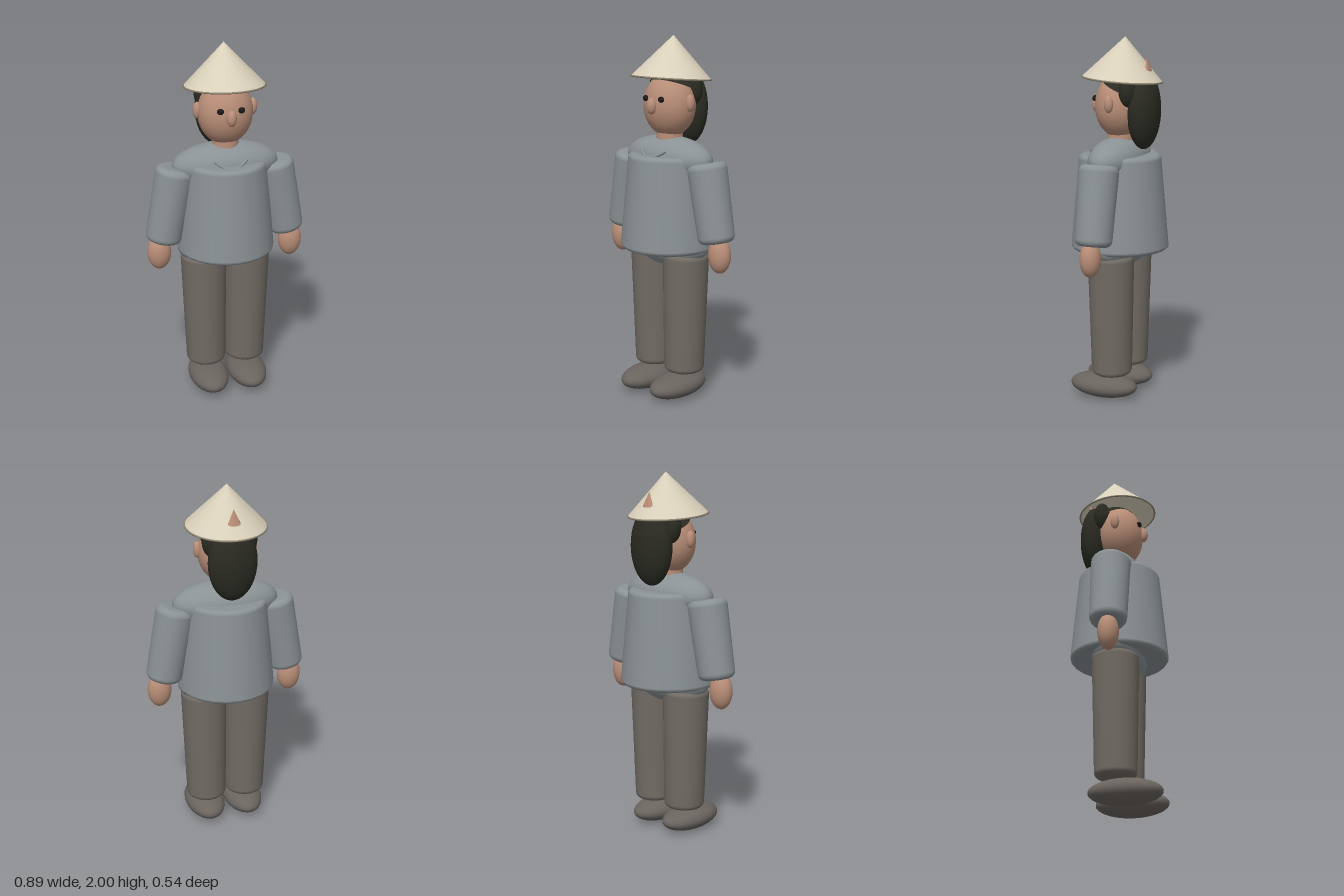
import * as THREE from 'three';

export function createModel() {
  const root = new THREE.Group();
  root.name = 'standingFigure';

  const mat = (name, color, side = THREE.FrontSide) => {
    const m = new THREE.MeshStandardMaterial({ color, side });
    m.name = name;
    return m;
  };
  const straw = mat('straw', 0xd9d0ba, THREE.DoubleSide);
  const rimBrown = mat('hatRim', 0x8f8672);
  const skin = mat('skin', 0xb98e78);
  const hair = mat('hair', 0x2b2b23, THREE.DoubleSide);
  const cloth = mat('greyCloth', 0x8b9295);
  const trousers = mat('trouserCloth', 0x716b64);
  const shoe = mat('shoe', 0x6a645f);
  const eye = mat('eye', 0x1c1b19);

  const add = (name, geo, material, pos, rot = [0, 0, 0], parent = root) => {
    const m = new THREE.Mesh(geo, material);
    m.name = name;
    m.position.set(...pos);
    m.rotation.set(...rot);
    parent.add(m);
    return m;
  };
  const ball = (name, material, pos, r, rot) =>
    add(name, new THREE.SphereGeometry(1, 32, 20), material, pos, rot).scale.set(...r);

  // Tapered cylinder with rounded rims, centred on its height
  const roundedTaper = (rBottom, rTop, height, c, segments = 32) => {
    const pts = [new THREE.Vector2(0, -height / 2)];
    for (let i = 0; i <= 6; i++) {
      const a = -Math.PI / 2 + (i / 6) * (Math.PI / 2);
      pts.push(new THREE.Vector2(rBottom - c + c * Math.cos(a), -height / 2 + c + c * Math.sin(a)));
    }
    for (let i = 0; i <= 6; i++) {
      const a = (i / 6) * (Math.PI / 2);
      pts.push(new THREE.Vector2(rTop - c + c * Math.cos(a), height / 2 - c + c * Math.sin(a)));
    }
    pts.push(new THREE.Vector2(0, height / 2));
    return new THREE.LatheGeometry(pts, segments);
  };

  // Torso
  add('tunic', roundedTaper(0.27, 0.227, 0.525, 0.025, 24), cloth, [0, 1.1025, 0]);
  ball('shoulders', cloth, [0, 1.34, 0], [0.295, 0.122, 0.14]);
  ball('hips', cloth, [0, 0.865, 0], [0.268, 0.125, 0.15]);

  // Paired parts
  for (const s of [1, -1]) {
    const side = s > 0 ? 'left' : 'right';
    add(side + 'Sleeve', roundedTaper(0.1, 0.108, 0.43, 0.035), cloth,
      [s * 0.312, 1.127, 0], [0, 0, s * 0.19]);
    ball(side + 'Hand', skin, [s * 0.375, 0.853, 0.005], [0.066, 0.1, 0.056]);
    add(side + 'Leg', roundedTaper(0.112, 0.127, 0.685, 0.03), trousers,
      [s * 0.119, 0.4875, 0], [0, 0, s * -0.018]);
    ball(side + 'Shoe', shoe, [s * 0.113, 0.07, 0.05], [0.11, 0.068, 0.197]);
    ball(side + 'Ear', skin, [s * 0.153, 1.647, 0], [0.023, 0.046, 0.025]);
    ball(side + 'Eye', eye, [s * 0.057, 1.668, 0.124], [0.019, 0.016, 0.014]);
    ball(side + 'SideHair', hair, [s * 0.09, 1.715, -0.085], [0.06, 0.09, 0.05]);

    // Collar edge curling up out of the tunic
    const curve = new THREE.QuadraticBezierCurve3(
      new THREE.Vector3(s * 0.015, 1.355, 0.165),
      new THREE.Vector3(s * 0.055, 1.368, 0.15),
      new THREE.Vector3(s * 0.088, 1.395, 0.125));
    add(side + 'Collar', new THREE.TubeGeometry(curve, 10, 0.009, 8), cloth, [0, 0, 0]);
  }

  // Head
  add('neck', new THREE.CylinderGeometry(0.07, 0.075, 0.12, 24), skin, [0, 1.46, 0]);
  ball('head', skin, [0, 1.628, 0], [0.15, 0.176, 0.135]);
  ball('nose', skin, [0, 1.63, 0.138], [0.027, 0.044, 0.027]);

  // Hair
  add('hairCap', new THREE.SphereGeometry(1, 32, 14, 0, Math.PI * 2, 0, 1.02), hair,
    [0, 1.63, 0], [-0.4, 0, 0]).scale.set(0.172, 0.182, 0.152);
  ball('backHair', hair, [0, 1.61, -0.14], [0.133, 0.212, 0.084]);

  // Conical hat, tipped slightly back
  const hat = new THREE.Group();
  hat.name = 'hat';
  hat.position.set(0, 1.772, -0.012);
  hat.rotation.x = -0.08;
  root.add(hat);
  add('hatCone', new THREE.ConeGeometry(0.218, 0.228, 48, 1, true), straw, [0, 0.114, 0], [0, 0, 0], hat);
  add('hatRim', new THREE.TorusGeometry(0.217, 0.005, 8, 48), rimBrown, [0, 0, 0], [Math.PI / 2, 0, 0], hat);

  // Small flat point showing through the back of the hat
  add('hatPin', new THREE.ConeGeometry(0.042, 0.09, 24), skin, [0, 1.855, -0.16], [0.15, 0, 0])
    .scale.set(1, 1, 0.32);

  return root;
}
